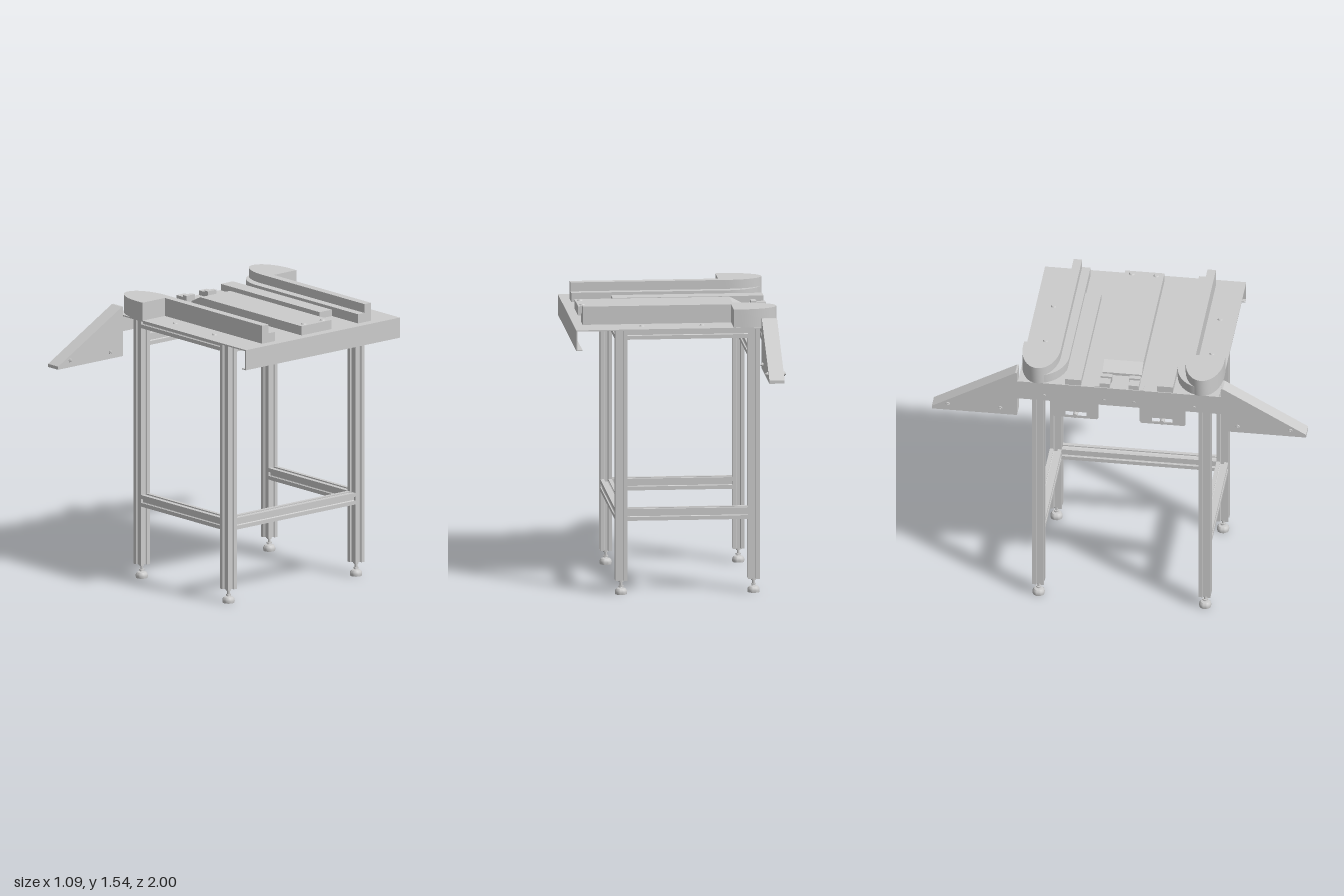
import * as THREE from 'three';
import { toCreasedNormals } from 'three/addons/utils/BufferGeometryUtils.js';

const grey = new THREE.MeshStandardMaterial({ color: 0xcccccc });
const TOP = 1.44; // upper face of the table sheet

export function createModel() {
  const root = new THREE.Group();

  const add = (name, geo, x = 0, y = 0, z = 0) => {
    const m = new THREE.Mesh(geo, grey);
    m.name = name;
    m.position.set(x, y, z);
    root.add(m);
    return m;
  };
  // box given by its limits
  const box = (name, x0, x1, y0, y1, z0, z1) =>
    add(name, new THREE.BoxGeometry(x1 - x0, y1 - y0, z1 - z0), (x0 + x1) / 2, (y0 + y1) / 2, (z0 + z1) / 2);

  const toShape = (pts) => new THREE.Shape(pts.map(([a, b]) => new THREE.Vector2(a, b)));
  const extrude = (shape, depth) => new THREE.ExtrudeGeometry(shape, { depth, bevelEnabled: false });
  // outline in (x, z), raised from y0 to y1
  const raised = (name, pts, y0, y1) => {
    const g = extrude(toShape(pts.map(([x, z]) => [x, -z])), y1 - y0).rotateX(-Math.PI / 2);
    return add(name, toCreasedNormals(g, 0.5), 0, y0, 0);
  };
  // outline in (z, y), spanning x0 to x1
  const crosswise = (name, shape, x0, x1) =>
    add(name, extrude(shape, x1 - x0).rotateY(-Math.PI / 2), x1, 0, 0);

  // slotted square profile, one T-slot on each side
  const W = 0.063, h = W / 2;
  const side = [[h, -h], [h, -0.011], [h - 0.006, -0.011], [h - 0.006, -0.018], [h - 0.013, -0.009],
    [h - 0.013, 0.009], [h - 0.006, 0.018], [h - 0.006, 0.011], [h, 0.011]];
  const section = [];
  for (let i = 0; i < 4; i++) {
    const c = Math.round(Math.cos(i * Math.PI / 2)), s = Math.round(Math.sin(i * Math.PI / 2));
    side.forEach(([a, b]) => section.push([a * c - b * s, a * s + b * c]));
  }
  const bar = (len) => extrude(toShape(section), len).translate(0, 0, -len / 2);

  // bolt with a domed head, axis along y
  const bolt = (name, x, y, z, r = 0.014, hgt = 0.006) =>
    add(name, new THREE.CylinderGeometry(r * 0.75, r, hgt, 16), x, y + hgt / 2, z);
  const crossBolt = (name, x, y, z, len, r) =>
    add(name, new THREE.CylinderGeometry(r, r, len, 12).rotateZ(Math.PI / 2), x, y, z);

  // legs and levelling feet
  const XL = -0.408, XR = 0.297, ZL = 0.445, legBase = 0.075, legTop = 1.434;
  const foot = toCreasedNormals(new THREE.LatheGeometry(
    [[0, 0], [0.031, 0], [0.033, 0.012], [0.031, 0.022], [0.024, 0.031], [0.01, 0.035], [0.008, 0.04],
      [0.014, 0.04], [0.014, 0.047], [0.007, 0.047], [0.007, 0.065], [0.013, 0.065], [0.013, 0.077]]
      .map(([a, b]) => new THREE.Vector2(a, b)), 24), 0.6);
  for (const x of [XL, XR]) for (const z of [-ZL, ZL]) {
    add('leg', bar(legTop - legBase).rotateX(Math.PI / 2), x, (legTop + legBase) / 2, z);
    add('levellingFoot', foot, x, 0, z);
  }

  // frame rails; the feed side stays open at the bottom
  const lenX = XR - XL - W, lenZ = 2 * ZL - W, midX = (XL + XR) / 2;
  for (const z of [-ZL, ZL]) {
    add('lowerSideRail', bar(lenX).rotateY(Math.PI / 2), midX, 0.43, z);
    add('upperSideRail', bar(lenX).rotateY(Math.PI / 2), midX, 1.405, z);
  }
  add('lowerCrossRail', bar(lenZ), XR, 0.43, 0);
  add('upperCrossRail', bar(lenZ), XR, 1.403, 0);
  add('feedCrossRail', bar(lenZ), XL, 1.303, 0);

  // folded table sheet
  box('tableSheet', -0.52, 0.543, TOP - 0.007, TOP, -0.54, 0.535);
  box('tableFlange', 0.537, 0.543, 1.33, TOP, -0.54, 0.535);
  box('flangeLip', 0.511, 0.543, 1.33, 1.335, -0.54, 0.535);
  box('feedSkirt', -0.525, -0.519, 1.33, TOP, -0.545, 0.545);

  // centre bed with a sloping entry
  const bed = extrude(toShape([[-0.4, TOP], [0.494, TOP], [0.494, 1.49], [-0.33, 1.49], [-0.4, 1.455]]), 0.21);
  add('centreBed', bed, 0, 0, -0.105);

  const arc = (cx, cz, rx, rz, a0, a1, n) => Array.from({ length: n + 1 }, (_, i) => {
    const a = a0 + (a1 - a0) * i / n;
    return [cx + rx * Math.cos(a), cz + rz * Math.sin(a)];
  });

  for (const s of [-1, 1]) {
    const flip = (pts) => pts.map(([x, z]) => [x, s * z]); // for (x, z) outlines
    const flipSide = (pts) => pts.map(([z, y]) => [s * z, y]); // for (z, y) outlines
    const span = (name, x0, x1, y0, y1, za, zb) =>
      box(name, x0, x1, y0, y1, Math.min(s * za, s * zb), Math.max(s * za, s * zb));

    // side guide: rounded head, tall fence and a lower step curving into the head
    raised('guideHead', flip([[-0.295, 0.335], [-0.295, 0.538],
      ...arc(-0.34, 0.4365, 0.19, 0.1015, Math.PI / 2, Math.PI * 1.5, 24)]), TOP, 1.538);
    span('guideFence', -0.295, 0.494, TOP, 1.538, 0.335, 0.38);
    raised('guideStep', flip([[0.494, 0.29], [0.494, 0.336], [-0.33, 0.336], [-0.33, 0.44],
      ...arc(-0.33, 0.44, 0.195, 0.15, Math.PI, Math.PI * 1.5, 16)]), TOP, 1.49);

    // low slide rail and entry finger
    span('slideRail', -0.52, 0.283, TOP, 1.475, 0.203, 0.288);
    span('entryFinger', -0.52, -0.46, TOP, 1.465, 0.05, 0.105);
    span('fingerStop', -0.468, -0.44, TOP, 1.475, 0.045, 0.105);
    span('fingerBase', -0.52, -0.46, TOP, 1.443, 0.05, 0.13);

    // sloping side wing
    crosswise('sideWing', toShape(flipSide([[0.545, 1.22], [1, 1.22], [1, 1.237], [0.555, 1.49], [0.545, 1.49]])),
      -0.523, -0.442);
    for (const z of [0.635, 0.915]) {
      crossBolt('wingBolt', -0.483, 1.257, s * z, 0.11, 0.006);
      crossBolt('wingBoltHead', -0.526, 1.257, s * z, 0.01, 0.012);
      crossBolt('wingNut', -0.439, 1.257, s * z, 0.008, 0.011);
    }

    // slotted sensor bracket hanging from the skirt
    const plate = toShape(flipSide([[0.11, 1.4], [0.11, 1.24], [0.118, 1.23], [0.347, 1.23], [0.355, 1.24], [0.355, 1.4]]));
    plate.holes.push(new THREE.Path(flipSide([[0.175, 1.245], [0.285, 1.245], [0.285, 1.268], [0.175, 1.268]])
      .map(([a, b]) => new THREE.Vector2(a, b))));
    crosswise('sensorBracket', plate, -0.519, -0.513);
    crossBolt('bracketBolt', -0.525, 1.256, s * 0.232, 0.034, 0.013);
    for (const z of [0.08, 0.4]) crossBolt('skirtBolt', -0.526, 1.36, s * z, 0.008, 0.01);

    // fasteners above and below the sheet
    for (const x of [-0.135, 0.185]) bolt('tableBolt', x, TOP, s * 0.445);
    bolt('bedBolt', 0.468, 1.49, s * 0.065, 0.016);
    for (const x of [-0.22, 0.375]) for (const z of [0.065, 0.245, 0.335])
      bolt('undersideBolt', x, TOP - 0.017, s * z, 0.014, 0.011);
  }

  return root;
}
